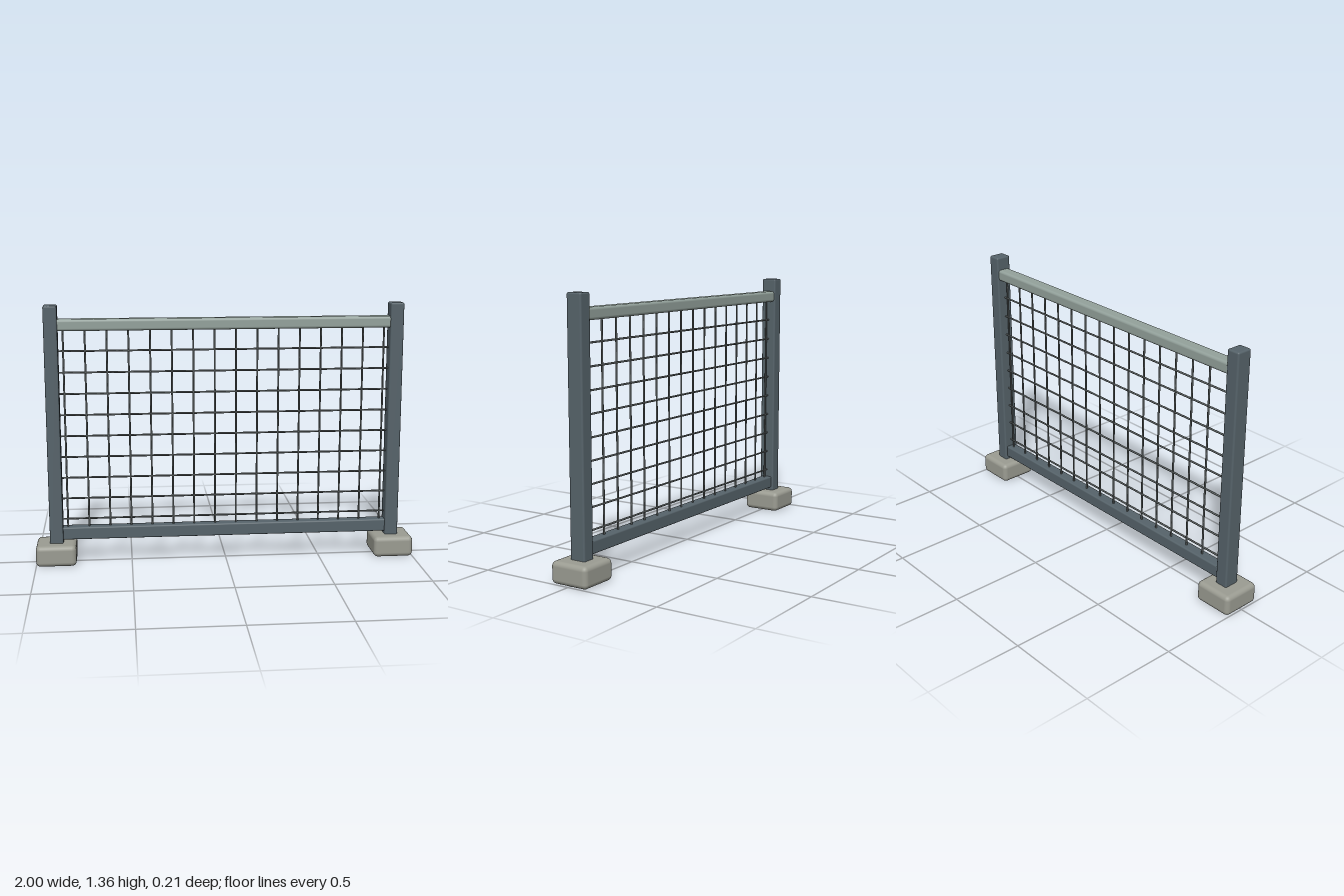
import * as THREE from 'three';
import { RoundedBoxGeometry } from 'three/addons/geometries/RoundedBoxGeometry.js';

const paint = (color) => new THREE.MeshStandardMaterial({ color });

export function createModel() {
  const model = new THREE.Group();
  const steel = paint(0x56636a);
  const concrete = paint(0x9b9c92);
  const railPaint = paint(0x93a19b);
  const wirePaint = paint(0x5c6262);

  const add = (name, geometry, material, x, y, z = 0) => {
    const mesh = new THREE.Mesh(geometry, material);
    mesh.name = name;
    mesh.position.set(x, y, z);
    model.add(mesh);
    return mesh;
  };
  const box = (w, h, d, r) => new RoundedBoxGeometry(w, h, d, 3, r);

  // Posts standing in rounded concrete feet
  for (const [side, s] of [['left', 1], ['right', -1]]) {
    add(side + 'Foot', box(0.21, 0.11, 0.21, 0.024), concrete, s * 0.895, 0.055);
    add(side + 'Post', box(0.07, 1.353, 0.084, 0.009), steel, s * 0.893, 0.6785);
  }

  // Rails between the posts
  add('topRail', box(1.74, 0.06, 0.07, 0.014), railPaint, 0, 1.255);
  add('bottomRail', box(1.74, 0.066, 0.06, 0.008), steel, 0, 0.158);

  // Wire mesh infill
  const pitch = 0.111, radius = 0.005;
  const upright = new THREE.CylinderGeometry(radius, radius, 1.08, 8);
  for (let i = 0; i < 16; i++) {
    add('verticalWire', upright, wirePaint, (i - 7.5) * pitch, 0.71);
  }
  const across = new THREE.CylinderGeometry(radius, radius, 1.74, 8).rotateZ(Math.PI / 2);
  for (let i = 0; i < 9; i++) {
    add('horizontalWire', across, wirePaint, 0, 0.232 + i * pitch);
  }

  return model;
}
